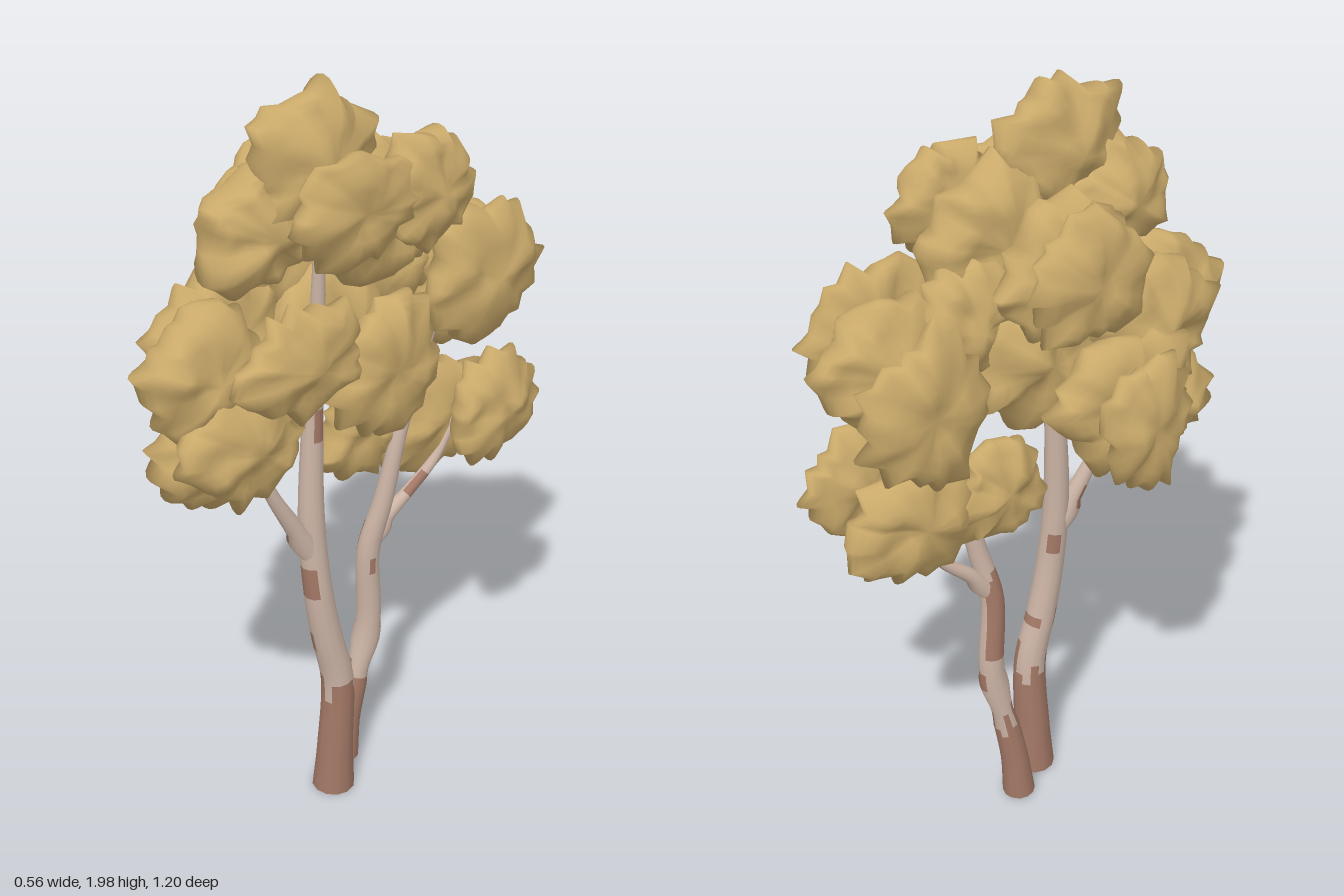
import * as THREE from 'three';
import { mergeVertices } from 'three/addons/utils/BufferGeometryUtils.js';

const mat = (name, color) => {
  const m = new THREE.MeshStandardMaterial({ color });
  m.name = name;
  return m;
};

// small seeded generator
function seeded(seed) {
  let s = seed * 7919 + 17;
  return () => {
    s = (s * 16807) % 2147483647;
    return s / 2147483647;
  };
}

// tapered tube along a path of [x, y, z, radius]; patches are [y0, y1, angle0, angle1]
function limb(name, path, barks, brownTo = 0, patches = []) {
  const rows = 60, sides = 12;
  const curve = new THREE.CatmullRomCurve3(path.map(p => new THREE.Vector3(p[0], p[1], p[2])));
  const radii = new THREE.CatmullRomCurve3(path.map(p => new THREE.Vector3(p[3], 0, 0)));
  const geo = new THREE.TubeGeometry(curve, rows, 1, sides);
  const pos = geo.attributes.position, v = new THREE.Vector3();
  const centres = [];
  for (let i = 0; i <= rows; i++) {
    const t = curve.getUtoTmapping(i / rows);
    const c = curve.getPoint(t), r = radii.getPoint(t).x;
    centres.push(c);
    for (let j = 0; j <= sides; j++) {
      const k = i * (sides + 1) + j;
      v.fromBufferAttribute(pos, k).sub(c).multiplyScalar(r).add(c);
      pos.setXYZ(k, v.x, Math.max(0, v.y), v.z);
    }
  }
  // choose the bark colour quad by quad
  for (let i = 0; i < rows; i++) for (let j = 0; j < sides; j++) {
    const k = i * (sides + 1) + j, c = centres[i];
    const angle = Math.atan2(pos.getZ(k) - c.z, pos.getX(k) - c.x);
    const ragged = brownTo + 0.04 * Math.sin(j * 2.3) + 0.03 * Math.sin(j * 5.1);
    const dark = c.y < ragged || patches.some(p => c.y >= p[0] && c.y < p[1] && angle >= p[2] && angle < p[3]);
    geo.addGroup((i * sides + j) * 6, 6, dark ? 1 : 0);
  }
  const mesh = new THREE.Mesh(geo, barks);
  mesh.name = name;
  return mesh;
}

// flattened leaf clump, thin along x, with an irregular jagged rim and ridged sides
function clump([x, y, z, rx, ry, rz], index, material) {
  const cols = 30, rows = 14, rand = seeded(index + 3);
  let geo = new THREE.SphereGeometry(1, cols, rows);
  const [a, b, c, d] = [rand() * 6, rand() * 6, rand() * 6, rand() * 6];
  const spike = [], lean = [], ridge = [], turn = [];
  for (let j = 0; j < cols; j++) {
    const lobe = 0.06 * Math.sin(j / cols * Math.PI * 6 + a) + 0.05 * Math.sin(j / cols * Math.PI * 10 + b);
    spike.push((j % 2 ? 0.82 + 0.16 * rand() : 0.92 + 0.2 * rand()) + lobe);
    lean.push((rand() - 0.5) * 0.8);
    ridge.push(1 + (rand() - 0.5) * 0.4);
    turn.push((rand() - 0.5) * 0.14);
  }
  const reach = 1.13 / Math.max(...spike);
  const pos = geo.attributes.position;
  for (let i = 0; i <= rows; i++) for (let j = 0; j <= cols; j++) {
    const k = i * (cols + 1) + j, n = j % cols, s = Math.sin(Math.PI * i / rows);
    const px = pos.getX(k), py = pos.getY(k), pz = pos.getZ(k);
    const f = 1 + (spike[n] * reach - 1) * s * s;
    const lump = 1 + 0.2 * Math.sin(5 * px + a) * Math.sin(5 * pz + b)
      + 0.12 * Math.sin(8 * px + 4 * pz + c) * Math.sin(7 * pz - 3 * px + d);
    const side = 1 + (ridge[n] - 1) * s * s;
    const cos = Math.cos(turn[n] * s), sin = Math.sin(turn[n] * s);
    pos.setXYZ(k,
      x + rx * (py * lump * side * 1.1 + lean[n] * s ** 4),
      y + ry * (pz * cos + px * sin) * f,
      z + rz * (px * cos - pz * sin) * f);
  }
  geo.deleteAttribute('uv');
  geo.deleteAttribute('normal');
  geo = mergeVertices(geo, 1e-5);
  geo.computeVertexNormals();
  const mesh = new THREE.Mesh(geo, material);
  mesh.name = 'leafClump' + (index + 1);
  return mesh;
}

export function createModel() {
  const tree = new THREE.Group();
  tree.name = 'tree';
  const leaf = mat('leaf', 0xc9a96a);
  const barks = [mat('paleBark', 0xcdb5a6), mat('brownBark', 0xa57a68)];

  // trunks and branches
  const wood = new THREE.Group();
  wood.name = 'wood';
  wood.add(
    limb('mainTrunk', [
      [0.108, 0, 0.027, 0.057], [0.11, 0.12, 0.024, 0.049], [0.115, 0.35, 0.022, 0.043],
      [0.11, 0.5, 0.055, 0.04], [0.105, 0.65, 0.08, 0.037], [0.095, 0.85, 0.092, 0.034],
      [0.09, 1.15, 0.083, 0.026], [0.1, 1.45, 0.075, 0.018], [0.11, 1.75, 0.08, 0.008],
    ], barks, 0.33, [
      [0.63, 0.72, 0.5, 2.1], [0.44, 0.49, -2.8, -1.2],
      [0.46, 0.51, 1.5, 2.4], [1.05, 1.14, -0.6, 0.5], [0.68, 0.73, -3.2, -2.2],
    ]),
    limb('mainBranch', [
      [0.1, 0.74, 0.09, 0.024], [0.09, 0.84, 0.14, 0.024], [0.08, 0.95, 0.2, 0.018],
      [0.07, 1.08, 0.255, 0.014], [0.07, 1.25, 0.31, 0.006],
    ], barks, 0, [[0.82, 0.88, 1.4, 3.1]]),
    limb('secondTrunk', [
      [0.03, 0, -0.074, 0.044], [0.034, 0.12, -0.085, 0.037], [0.042, 0.25, -0.108, 0.034],
      [0.05, 0.42, -0.142, 0.034], [0.055, 0.65, -0.135, 0.031], [0.075, 0.8, -0.165, 0.026],
      [0.09, 1, -0.205, 0.02], [0.1, 1.2, -0.265, 0.017], [0.12, 1.4, -0.33, 0.007],
    ], barks, 0.25, [
      [0.46, 0.72, 1.7, 3.2], [0.46, 0.7, -3.2, -2.3], [0.57, 0.62, -0.3, 0.5],
      [0.36, 0.42, -2.5, -0.8], [0.85, 0.92, -2.6, -1], [1.05, 1.1, -0.6, 0.8],
    ]),
    limb('secondBranch', [
      [0.055, 0.66, -0.14, 0.02], [0.06, 0.73, -0.19, 0.02], [0.07, 0.79, -0.26, 0.016],
      [0.09, 0.87, -0.33, 0.013], [0.11, 1.02, -0.4, 0.006],
    ], barks, 0, [[0.78, 0.83, -2.5, 1]]),
  );
  // closed feet of the trunks
  for (const [x, z, r] of [[0.108, 0.027, 0.057], [0.03, -0.074, 0.044]]) {
    const foot = new THREE.Mesh(new THREE.CircleGeometry(r, 12), barks[1]);
    foot.rotation.x = Math.PI / 2;
    foot.position.set(x, 0.003, z);
    foot.name = 'trunkFoot';
    wood.add(foot);
  }
  tree.add(wood);

  // leaf clumps: x, y, z, then half sizes
  const crown = new THREE.Group();
  crown.name = 'crown';
  [
    // top
    [0.12, 1.8, 0.12, 0.075, 0.18, 0.19],
    [0.21, 1.7, 0.06, 0.05, 0.14, 0.19],
    [0.2, 1.69, -0.16, 0.06, 0.16, 0.14],
    [0.08, 1.66, 0.25, 0.085, 0.15, 0.16],
    [0.1, 1.62, -0.1, 0.085, 0.19, 0.19],
    // upper right side
    [-0.04, 1.56, 0.03, 0.08, 0.2, 0.2],
    [-0.17, 1.59, 0, 0.05, 0.17, 0.165],
    // middle
    [0.21, 1.37, 0.21, 0.055, 0.14, 0.19],
    [0.21, 1.28, -0.04, 0.055, 0.19, 0.17],
    [0.09, 1.36, 0.41, 0.075, 0.17, 0.17],
    [0.15, 1.19, 0.35, 0.065, 0.16, 0.17],
    [0.01, 1.11, 0.32, 0.08, 0.17, 0.18],
    [-0.03, 1.36, 0.28, 0.08, 0.18, 0.19],
    [0.02, 1.34, -0.03, 0.085, 0.19, 0.18],
    // lower right side
    [-0.11, 1.22, 0.14, 0.07, 0.2, 0.21],
    [-0.215, 1.2, 0.14, 0.05, 0.19, 0.125],
    // back
    [0.19, 1.42, -0.37, 0.06, 0.19, 0.185],
    [0.08, 1.39, -0.4, 0.08, 0.19, 0.18],
    [-0.02, 1.29, -0.35, 0.06, 0.22, 0.18],
    [0.04, 1.46, -0.2, 0.07, 0.15, 0.15],
    [0.19, 1.03, -0.43, 0.055, 0.15, 0.155],
    [0.04, 0.97, -0.36, 0.06, 0.16, 0.19],
    [0.02, 1, -0.13, 0.055, 0.14, 0.13],
  ].forEach((c, i) => crown.add(clump(c, i, leaf)));
  tree.add(crown);
  return tree;
}
